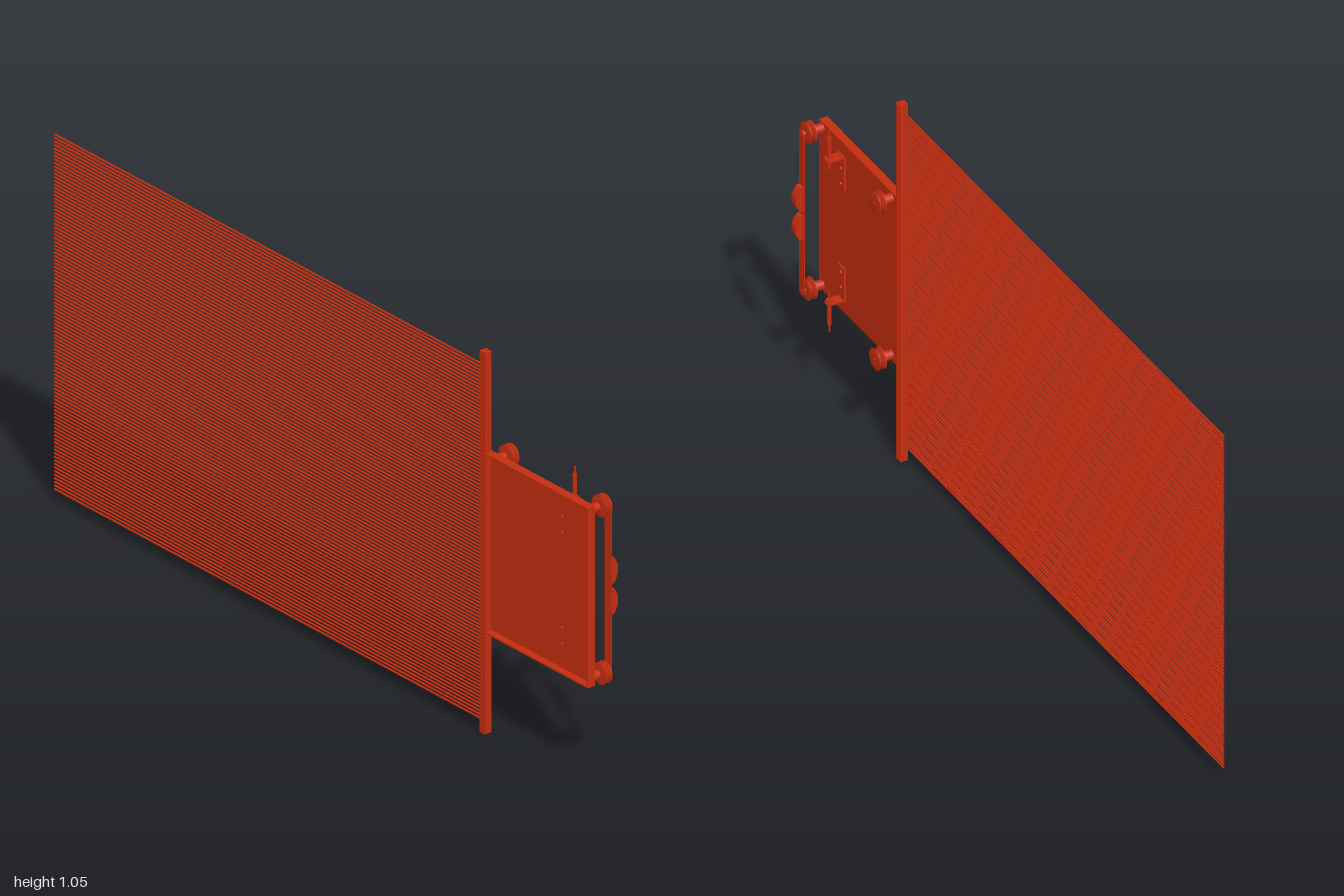
import * as THREE from 'three';

const mat = new THREE.MeshStandardMaterial({ color: 0xc42d10, side: THREE.DoubleSide });
const MID = 0.525; // height of the mirror plane of the carriage

function add(parent, name, geo, x = 0, y = 0, z = 0) {
  const m = new THREE.Mesh(geo, mat);
  m.name = name;
  m.position.set(x, y, z);
  parent.add(m);
  return m;
}
const box = (x, y, z) => new THREE.BoxGeometry(x, y, z);
const rod = (r, len, axis, n = 16) => {
  const g = new THREE.CylinderGeometry(r, r, len, n);
  if (axis === 'x') g.rotateZ(-Math.PI / 2);
  if (axis === 'z') g.rotateX(Math.PI / 2);
  return g;
};

// Flat plate facing +x, outlined in (z, y), with round holes [z, y, r]
function sidePlate(outline, holes, depth) {
  for (const [z, y, r] of holes) {
    const h = new THREE.Path();
    h.absarc(-z, y, r, 0, Math.PI * 2, true);
    outline.holes.push(h);
  }
  const g = new THREE.ExtrudeGeometry(outline, { depth, bevelEnabled: false, curveSegments: 12 });
  return g.rotateY(Math.PI / 2);
}
function rect(z0, z1, y0, y1) {
  return new THREE.Shape([[-z1, y0], [-z0, y0], [-z0, y1], [-z1, y1]].map(p => new THREE.Vector2(...p)));
}

// Grooved roller on a stepped standoff, axis along x
function roller(front) {
  const g = new THREE.Group();
  g.name = 'roller';
  add(g, 'standoff', rod(0.013, 0.022, 'x', 20), -0.017);
  add(g, 'axle', rod(0.006, front ? 0.06 : 0.05, 'x'), front ? 0.001 : -0.004);
  const profile = [[0.006, -0.011], [0.017, -0.011], [0.029, -0.009], [0.029, -0.007], [0.016, 0],
    [0.029, 0.007], [0.029, 0.009], [0.017, 0.011], [0.006, 0.011]];
  // Each profile step is a separate band so the rims stay crisp
  for (let i = 0; i < profile.length - 1; i++) {
    const band = profile.slice(i, i + 2).map(p => new THREE.Vector2(...p));
    add(g, 'rollerBand', new THREE.LatheGeometry(band, 28).rotateZ(-Math.PI / 2), 0.009);
  }
  return g;
}

// Angle bracket with an upright pin; side is +1 at the top, -1 at the bottom
function pinBracket(side) {
  const g = new THREE.Group();
  g.name = 'pinBracket';
  const z = 0.87;
  const y = d => MID + side * d;
  const ys = [y(0.115), y(0.213)].sort((a, b) => a - b);
  add(g, 'bracketPlate', sidePlate(rect(z - 0.016, z + 0.016, ...ys),
    [[z, y(0.13), 0.005], [z, y(0.175), 0.005]], 0.005), -0.028);
  // Shelf with a rounded outer end
  const s = new THREE.Shape();
  s.moveTo(-0.028, -0.014);
  s.lineTo(0.006, -0.014);
  s.absarc(0.006, 0, 0.014, -Math.PI / 2, Math.PI / 2, false);
  s.lineTo(-0.028, 0.014);
  const shelf = new THREE.ExtrudeGeometry(s, { depth: 0.005, bevelEnabled: false });
  add(g, 'bracketShelf', shelf.rotateX(Math.PI / 2), 0, y(0.21) + 0.0025, z);
  add(g, 'pin', rod(0.0025, 0.115, 'y', 12), 0.009, y(0.2375), z);
  add(g, 'pinSleeve', rod(0.0055, 0.06, 'y'), 0.009, y(0.245), z);
  add(g, 'pinNut', rod(0.009, 0.007, 'y', 6), 0.009, y(0.204), z);
  return g;
}

export function createModel() {
  const model = new THREE.Group();
  model.name = 'strandCarriage';

  // Sheet of parallel strands
  const strands = new THREE.Group();
  strands.name = 'strands';
  model.add(strands);
  const strandGeo = rod(0.0028, 1.598, 'z', 8);
  for (let i = 0; i < 100; i++) add(strands, 'strand', strandGeo, -0.0497, 0.038 + i * 0.00983, -0.201);

  // Upright channel holding the strand ends
  const bar = new THREE.Group();
  bar.name = 'uprightBar';
  model.add(bar);
  add(bar, 'barWeb', box(0.012, 1.047, 0.02), -0.0455, 0.5235, 0.595);
  for (const z of [0.588, 0.602]) add(bar, 'barFlange', box(0.01, 1.047, 0.006), -0.035, 0.5235, z);

  // Tray-shaped carriage plate, open towards -x
  const tray = new THREE.Group();
  tray.name = 'carriagePlate';
  model.add(tray);
  const holes = [];
  for (const s of [-1, 1]) for (const d of [0.13, 0.175]) holes.push([0.87, MID + s * d, 0.004]);
  add(tray, 'plate', sidePlate(rect(0.603, 0.988, 0.278, 0.772), holes, 0.004), -0.032);
  for (const y of [0.28, 0.77]) add(tray, 'trayFlange', box(0.02, 0.004, 0.385), -0.041, y, 0.7955);
  for (const z of [0.605, 0.986]) add(tray, 'trayFlange', box(0.02, 0.49, 0.004), -0.041, MID, z);

  // Four rollers and two pin brackets
  for (const s of [-1, 1]) {
    for (const z of [0.625, 0.972]) {
      const r = roller(z > 0.8);
      r.position.set(0, MID + s * 0.23, z);
      model.add(r);
    }
    model.add(pinBracket(s));
  }

  // Handle strip with rounded ends joining the front rollers
  const w = 0.013, s = new THREE.Shape();
  s.absarc(-0.972, MID + 0.23, w, 0, Math.PI, false);
  s.absarc(-0.972, MID - 0.23, w, Math.PI, Math.PI * 2, false);
  add(model, 'handleStrip', sidePlate(s, [], 0.003), 0.027);

  // Two half-round grips
  const grip = new THREE.Shape();
  grip.moveTo(0, -0.035);
  grip.lineTo(0.009, -0.035);
  grip.quadraticCurveTo(0.018, -0.022, 0.022, -0.008);
  grip.lineTo(0.022, 0.008);
  grip.quadraticCurveTo(0.018, 0.022, 0.009, 0.035);
  grip.lineTo(0, 0.035);
  const gripGeo = new THREE.ExtrudeGeometry(grip, { depth: 0.02, bevelEnabled: false });
  for (const y of [0.485, 0.57]) add(model, 'grip', gripGeo, 0.03, y, 0.962);

  return model;
}
